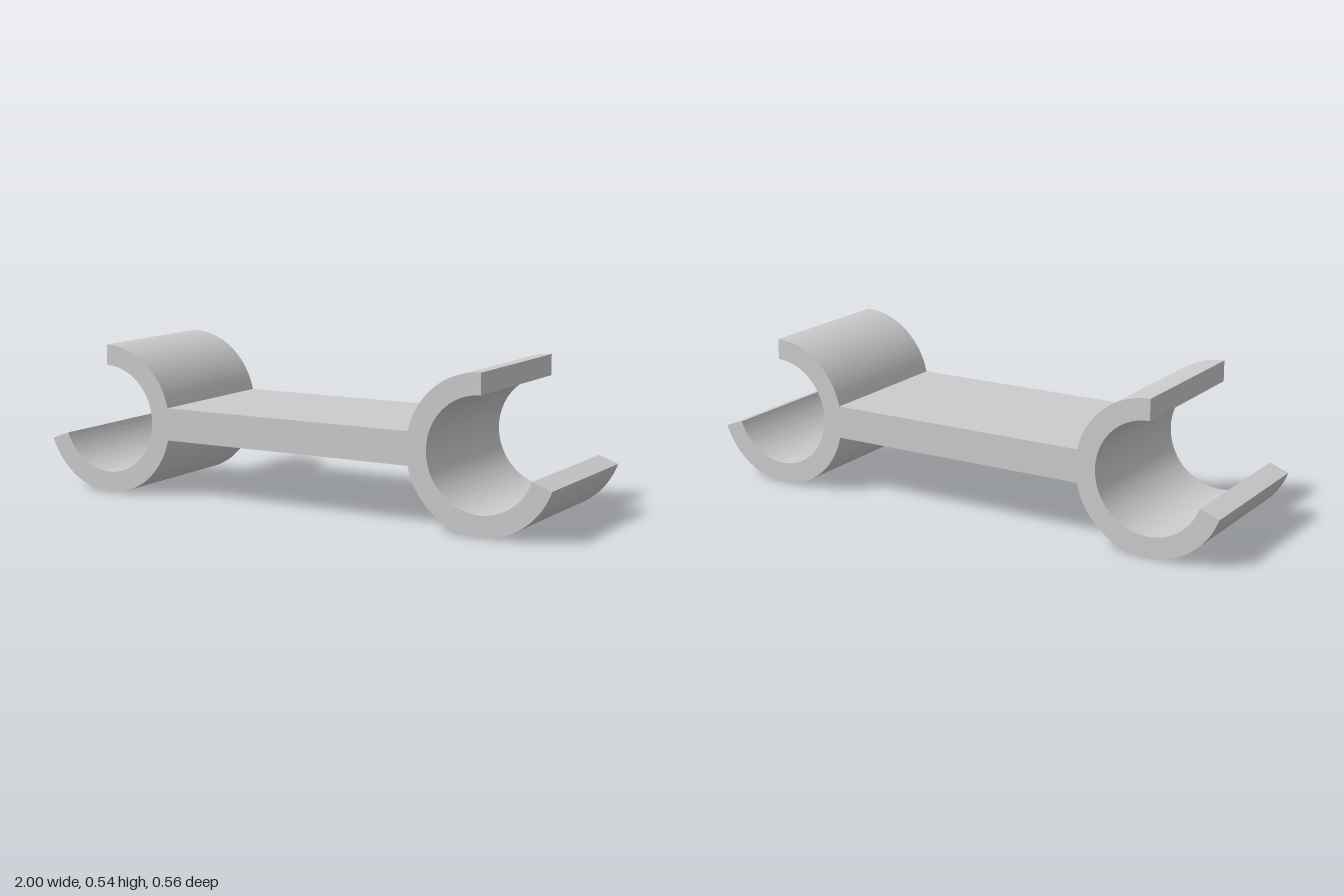
import * as THREE from 'three';
import { toCreasedNormals } from 'three/addons/utils/BufferGeometryUtils.js';

const CX = 0.746, CY = 0.27;          // clip centres at x = +-CX
const R = 0.27, r = 0.196;            // outer and inner clip radius
const BAR = 0.058;                    // half thickness of the connecting bar
const DEPTH = 0.56;

export function createModel() {
  const group = new THREE.Group();
  group.name = 'doublePipeClip';

  const top = Math.PI / 2;                        // upper lip, cut vertically
  const tip = THREE.MathUtils.degToRad(20);       // lower lip, below the horizontal
  const joint = Math.asin(BAR / R);               // where the bar meets a ring

  // One continuous outline, counter-clockwise
  const outline = new THREE.Shape();
  // Left clip (+x): lower jaw, inside, upper jaw
  outline.absarc(CX, CY, R, Math.PI + joint, 2 * Math.PI - tip, false);
  outline.absarc(CX, CY, r, 2 * Math.PI - tip, top, true);
  outline.absarc(CX, CY, R, top, Math.PI - joint, false);
  // Right clip (-x): upper jaw, inside, lower jaw; the bar edges join the two
  outline.absarc(-CX, CY, R, joint, top, false);
  outline.absarc(-CX, CY, r, top, tip - Math.PI, true);
  outline.absarc(-CX, CY, R, tip - Math.PI, -joint, false);
  outline.closePath();

  const geometry = new THREE.ExtrudeGeometry(outline, {
    depth: DEPTH, bevelEnabled: false, curveSegments: 48,
  });
  geometry.translate(0, 0, -DEPTH / 2);

  const body = new THREE.Mesh(
    toCreasedNormals(geometry, 0.5),
    new THREE.MeshStandardMaterial({ color: 0xcccccc }),
  );
  body.name = 'clipsAndBar';
  group.add(body);
  return group;
}
